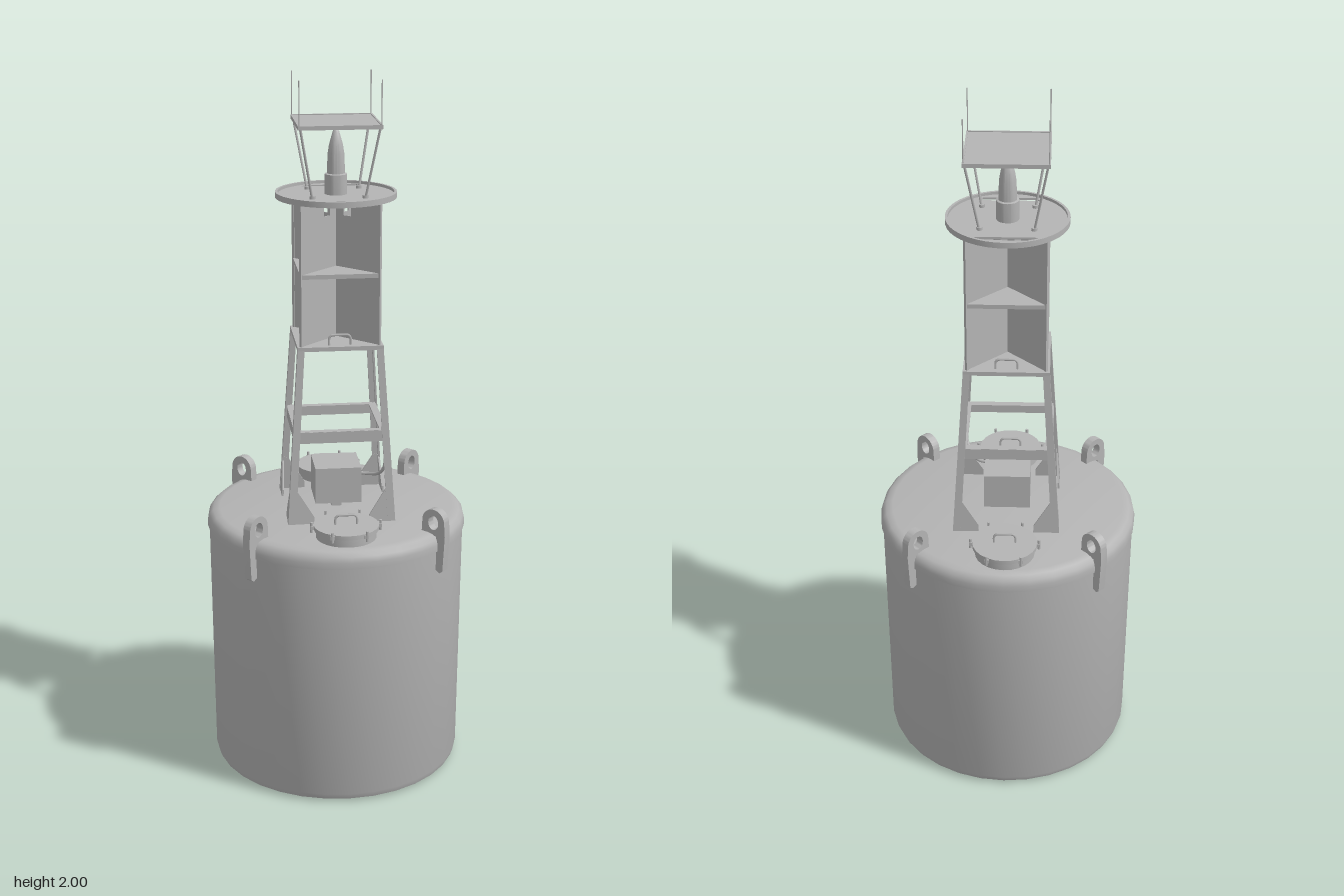
import * as THREE from 'three';
import { toCreasedNormals } from 'three/addons/utils/BufferGeometryUtils.js';

const V = (x, y, z) => new THREE.Vector3(x, y, z);
const P = (x, y) => new THREE.Vector2(x, y);

export function createModel() {
  const root = new THREE.Group();
  root.name = 'buoy';
  const grey = new THREE.MeshStandardMaterial({ color: 0xb4b4b4, side: THREE.DoubleSide });
  grey.name = 'grey steel';

  const add = (name, geo, x = 0, y = 0, z = 0, parent = root) => {
    const m = new THREE.Mesh(geo, grey);
    m.name = name;
    m.position.set(x, y, z);
    parent.add(m);
    return m;
  };
  const box = (name, w, h, d, x, y, z, parent) => add(name, new THREE.BoxGeometry(w, h, d), x, y, z, parent);
  const group = (name, angle = 0, parent = root) => {
    const g = new THREE.Group();
    g.name = name;
    g.rotation.y = angle;
    parent.add(g);
    return g;
  };
  const lathe = (name, pts, sides, x, y, z, parent) =>
    add(name, toCreasedNormals(new THREE.LatheGeometry(pts.map(p => P(...p)), sides), 0.6), x, y, z, parent);
  // straight bar between two points
  const bar = (name, a, b, r, sides, parent) => {
    const m = add(name, new THREE.CylinderGeometry(r, r, a.distanceTo(b), sides), 0, 0, 0, parent);
    m.position.copy(a).add(b).multiplyScalar(0.5);
    m.quaternion.setFromUnitVectors(V(0, 1, 0), b.clone().sub(a).normalize());
    return m;
  };
  const extrude = (shape, depth) =>
    new THREE.ExtrudeGeometry(shape, { depth, bevelEnabled: false, curveSegments: 12 });
  // U-shaped grab handle
  const handle = (x, y, z, w, h, parent) => {
    const path = new THREE.CatmullRomCurve3([V(-w, 0, 0), V(-w, h * 0.7, 0), V(-w * 0.75, h, 0),
      V(w * 0.75, h, 0), V(w, h * 0.7, 0), V(w, 0, 0)], false, 'catmullrom', 0.2);
    add('handle', new THREE.TubeGeometry(path, 20, 0.0035, 6), x, y, z, parent);
  };

  // Float body with rounded cap
  lathe('floatBody', [[0, 0], [0.34, 0], [0.355, 0.008], [0.361, 0.025], [0.367, 0.72], [0.372, 0.722],
    [0.372, 0.74], [0.368, 0.756], [0.356, 0.768], [0.337, 0.772], [0, 0.772]], 32);

  // Lifting lugs in the radial planes
  const lug = new THREE.Shape();
  lug.moveTo(0.315, 0.765);
  lug.lineTo(0.317, 0.805);
  lug.absarc(0.354, 0.805, 0.037, Math.PI, 0, true);
  lug.lineTo(0.394, 0.77);
  lug.lineTo(0.388, 0.665);
  lug.lineTo(0.378, 0.658);
  lug.lineTo(0.364, 0.665);
  lug.lineTo(0.364, 0.765);
  const eye = new THREE.Path();
  eye.absellipse(0.354, 0.803, 0.017, 0.021, 0, Math.PI * 2);
  lug.holes.push(eye);
  for (let i = 0; i < 4; i++) {
    const g = group('liftingLug', Math.PI / 4 + i * Math.PI / 2);
    add('lugPlate', toCreasedNormals(extrude(lug, 0.024), 0.6), 0, 0, -0.012, g);
  }

  // Two round hatches with bolts and a handle
  for (const s of [1, -1]) {
    const g = group('hatch');
    g.position.set(0, 0.77, s * 0.252);
    lathe('hatchCoaming', [[0.084, 0], [0.084, 0.028]], 24, 0, 0, 0, g);
    lathe('hatchLid', [[0, 0.026], [0.091, 0.026], [0.091, 0.038], [0, 0.038]], 24, 0, 0, 0, g);
    for (let i = 0; i < 6; i++) {
      const a = i * Math.PI / 3;
      const x = Math.cos(a) * 0.096, z = Math.sin(a) * 0.096;
      add('hatchBolt', new THREE.CylinderGeometry(0.004, 0.004, 0.03, 8), x, 0.032, z, g);
      box('boltLug', 0.012, 0.01, 0.01, x * 0.97, 0.031, z * 0.97, g);
    }
    handle(0, 0.036, 0, 0.03, 0.028, g);
  }

  // Equipment box on a stub, with its cable
  box('equipmentBox', 0.132, 0.105, 0.132, 0, 0.852, 0);
  box('equipmentStub', 0.03, 0.04, 0.03, 0, 0.785, 0);
  add('cable', new THREE.TubeGeometry(new THREE.CatmullRomCurve3([V(0.06, 0.882, 0.045), V(0.085, 0.882, 0.055),
    V(0.11, 0.892, 0.085), V(0.123, 0.915, 0.108), V(0.128, 0.95, 0.119)]), 20, 0.005, 6));

  // Tapered tower: each side carries half-angle legs, gussets and a brace
  const LOW = 0.77, TOP = 1.27;
  const edge = y => 0.152 - (y - LOW) / (TOP - LOW) * 0.033;
  const poly = pts => new THREE.Shape(pts.map(p => P(...p)));
  for (let i = 0; i < 4; i++) {
    const side = group('towerSide', i * Math.PI / 2);
    const face = group('sidePlane', 0, side);
    face.position.set(0, LOW, edge(LOW));
    face.rotation.x = -Math.atan2(0.033, TOP - LOW);
    for (const s of [1, -1]) {
      add('legFlange', extrude(poly([[s * 0.152, 0], [s * 0.119, 0.5], [s * 0.1, 0.5], [s * 0.13, 0]]), 0.005), 0, 0, -0.005, face);
      add('footGusset', extrude(poly([[s * 0.15, 0], [s * 0.144, 0.105], [s * 0.126, 0.1], [s * 0.078, 0.022], [s * 0.078, 0]]), 0.005), 0, 0, -0.006, face);
    }
    const m = edge(1.02);
    box('brace', m * 2 - 0.012, 0.032, 0.006, 0, 1.02, m - 0.008, side);
    box('braceLedge', m * 2 - 0.03, 0.005, 0.02, 0, 1.034, m - 0.016, side);
  }

  // Reflector cage: shelves, corner posts and crossed plates with windows
  box('lowerShelf', 0.238, 0.012, 0.238, 0, 1.272, 0);
  box('middleShelf', 0.22, 0.012, 0.22, 0, 1.473, 0);
  const wing = poly([[0, 1.275], [0.152, 1.275], [0.152, 1.676], [0, 1.676]]);
  const win = new THREE.Path();
  win.moveTo(0.028, 1.624);
  win.lineTo(0.054, 1.624);
  win.lineTo(0.054, 1.655);
  win.absarc(0.041, 1.655, 0.013, 0, Math.PI, false);
  win.lineTo(0.028, 1.624);
  wing.holes.push(win);
  for (let i = 0; i < 4; i++) {
    const g = group('reflectorWing', Math.PI / 4 + i * Math.PI / 2);
    add('reflectorPlate', extrude(wing, 0.004), 0, 0, -0.002, g);
    box('cornerPost', 0.008, 0.4, 0.008, 0.152, 1.476, 0, g);
    const h = group('shelfHandle', i * Math.PI / 2);
    handle(0, 1.276, 0.098, 0.03, 0.03, h);
  }

  // Round platform with two slots and a raised rim
  const disc = new THREE.Shape().absarc(0, 0, 0.165, 0, Math.PI * 2);
  for (const s of [1, -1]) {
    disc.holes.push(new THREE.Path([[-0.085, 0.116], [0.085, 0.116], [0.072, 0.134], [-0.072, 0.134], [-0.085, 0.116]]
      .map(([x, y]) => P(x, y * s))));
  }
  const discGeo = new THREE.ExtrudeGeometry(disc, { depth: 0.006, bevelEnabled: false, curveSegments: 40 });
  add('platform', toCreasedNormals(discGeo.rotateX(-Math.PI / 2), 0.6), 0, 1.674, 0);
  lathe('platformRim', [[0.16, 1.672], [0.167, 1.672], [0.167, 1.688], [0.16, 1.688], [0.16, 1.672]], 40);

  // Lantern
  lathe('lantern', [[0.031, 1.678], [0.031, 1.735], [0.025, 1.737], [0.023, 1.79], [0.019, 1.815],
    [0.009, 1.85], [0.004, 1.858], [0, 1.86]], 20);

  // Roof plate on splayed struts, with corner spikes
  box('roofPlate', 0.222, 0.006, 0.222, 0, 1.876, 0);
  for (let i = 0; i < 4; i++) {
    const g = group('roofCorner', i * Math.PI / 2);
    box('roofEdge', 0.226, 0.011, 0.005, 0, 1.876, 0.111, g);
    bar('roofStrut', V(0.072, 1.678, 0.072), V(0.107, 1.874, 0.107), 0.0035, 6, g);
    add('strutFoot', new THREE.CylinderGeometry(0.008, 0.008, 0.008, 8), 0.072, 1.684, 0.072, g);
    bar('spike', V(0.11, 1.875, 0.11), V(0.11, 2, 0.11), 0.0016, 6, g);
  }
  return root;
}
